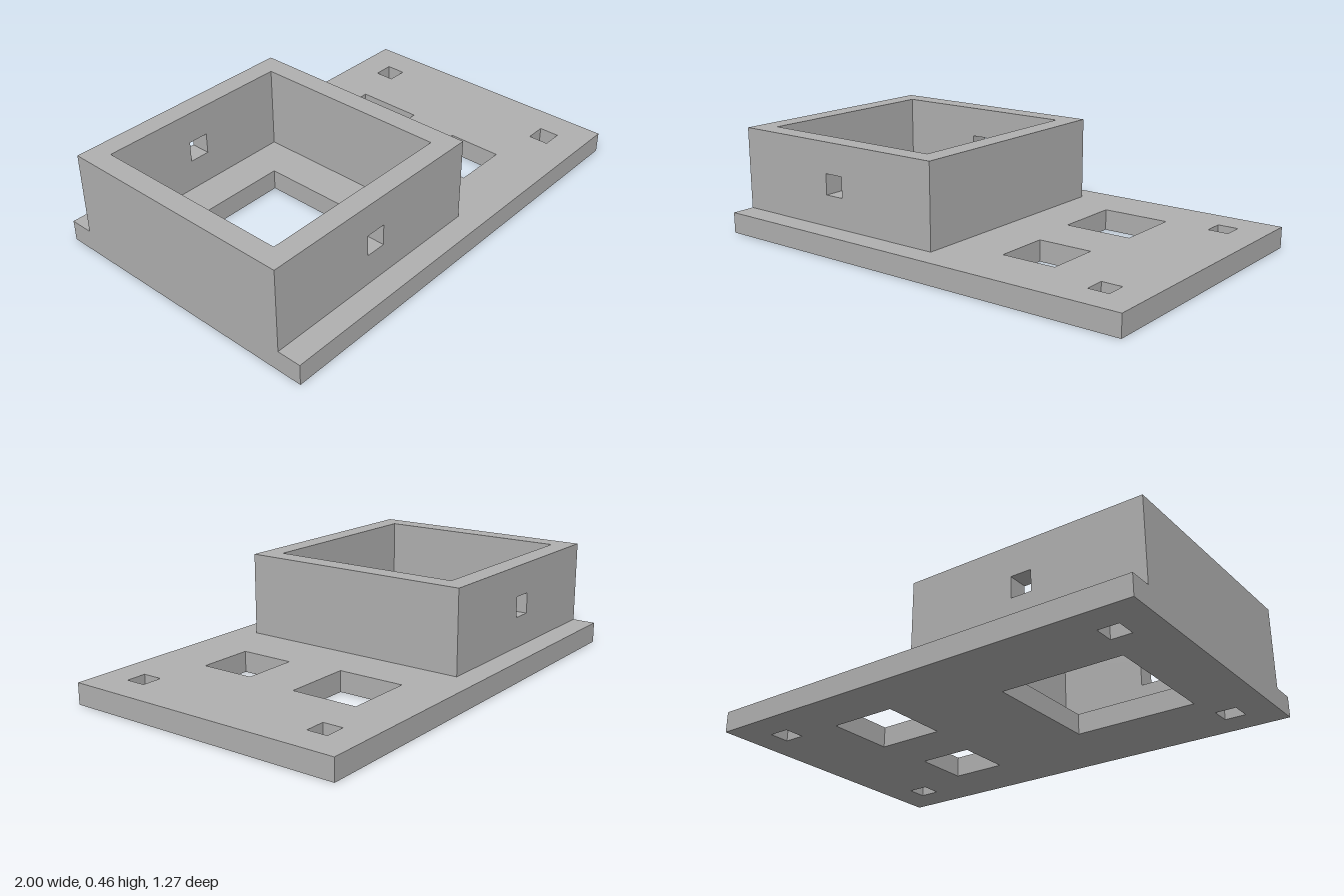
import * as THREE from 'three';

const grey = new THREE.MeshStandardMaterial({ color: 0xb0b0b0 });
grey.name = 'plain grey';

// Rectangle [x0, y0, x1, y1] as a list of corners
const corners = ([x0, y0, x1, y1]) => [
  new THREE.Vector2(x0, y0), new THREE.Vector2(x1, y0),
  new THREE.Vector2(x1, y1), new THREE.Vector2(x0, y1),
];

// Rectangular slab with rectangular holes, extruded along +z
function slab(outline, holes, depth) {
  const shape = new THREE.Shape(corners(outline));
  for (const h of holes) shape.holes.push(new THREE.Path(corners(h).reverse()));
  return new THREE.ExtrudeGeometry(shape, { depth, bevelEnabled: false });
}

export function createModel() {
  const model = new THREE.Group();
  model.name = 'mountingPlateWithBox';
  const add = (name, geometry) => {
    const mesh = new THREE.Mesh(geometry, grey);
    mesh.name = name;
    model.add(mesh);
    return mesh;
  };

  const plateTop = 0.092, boxTop = 0.457;

  // Base plate: drawn as x and -z, then laid flat
  const holes = [
    [-0.745, -0.275, -0.198, 0.275], // large opening inside the box
    [0.27, 0.107, 0.573, 0.408],     // rear opening
    [0.302, -0.381, 0.547, -0.137],  // front opening
  ];
  for (const x of [-0.864, 0.773])   // corner screw holes
    for (const z of [-0.5, 0.41]) holes.push([x, z, x + 0.091, z + 0.09]);
  const plate = slab([-1, -0.635, 1, 0.635], holes, plateTop);
  plate.rotateX(-Math.PI / 2);
  add('basePlate', plate);

  // Front and back box walls, each with a square cable hole
  const wall = 0.09;
  for (const [name, z] of [['frontWall', 0.44], ['backWall', -0.53]]) {
    const g = slab([-1, plateTop, 0.06, boxTop], [[-0.516, 0.229, -0.425, 0.321]], wall);
    add(name, g).position.z = z;
  }

  // Side box walls between them
  for (const [name, x] of [['rightWall', -1], ['leftWall', -0.03]]) {
    const h = boxTop - plateTop;
    const side = add(name, new THREE.BoxGeometry(wall, h, 0.88));
    side.position.set(x + wall / 2, plateTop + h / 2, 0);
  }
  return model;
}
